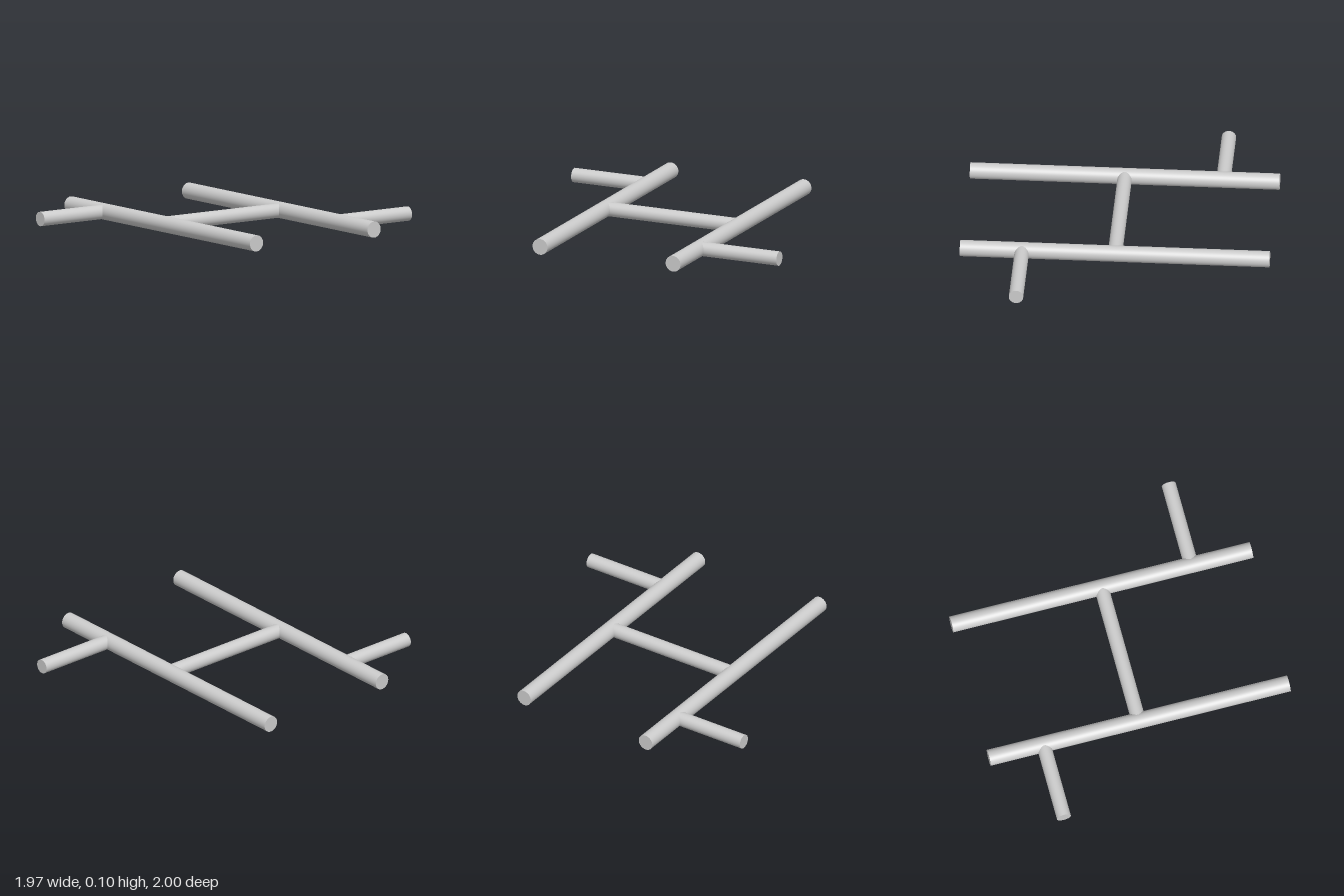
import * as THREE from 'three';

const RAIL_RADIUS = 0.052;
const BAR_RADIUS = 0.046;

export function createModel() {
  const model = new THREE.Group();
  const material = new THREE.MeshStandardMaterial({ color: 0xcccccc });

  // Round bar between two points lying on the common centre plane
  function addBar(name, radius, [x1, z1], [x2, z2]) {
    const length = Math.hypot(x2 - x1, z2 - z1);
    const bar = new THREE.Mesh(new THREE.CylinderGeometry(radius, radius, length, 40), material);
    bar.name = name;
    bar.position.set((x1 + x2) / 2, RAIL_RADIUS, (z1 + z2) / 2);
    const direction = new THREE.Vector3(x2 - x1, 0, z2 - z1).normalize();
    bar.quaternion.setFromUnitVectors(new THREE.Vector3(0, 1, 0), direction);
    model.add(bar);
  }

  // Two long parallel rails
  const backZ = -0.44, frontZ = 0.49;
  addBar('backRail', RAIL_RADIUS, [-0.983, backZ], [0.983, backZ]);
  addBar('frontRail', RAIL_RADIUS, [-0.983, frontZ], [0.983, frontZ]);

  // Bar joining the rails at their middles
  addBar('crossbar', BAR_RADIUS, [0, backZ], [0, frontZ]);

  // Outward pegs at opposite corners
  addBar('backPeg', BAR_RADIUS, [0.59, backZ], [0.59, -1]);
  addBar('frontPeg', BAR_RADIUS, [-0.625, frontZ], [-0.625, 1]);

  return model;
}
